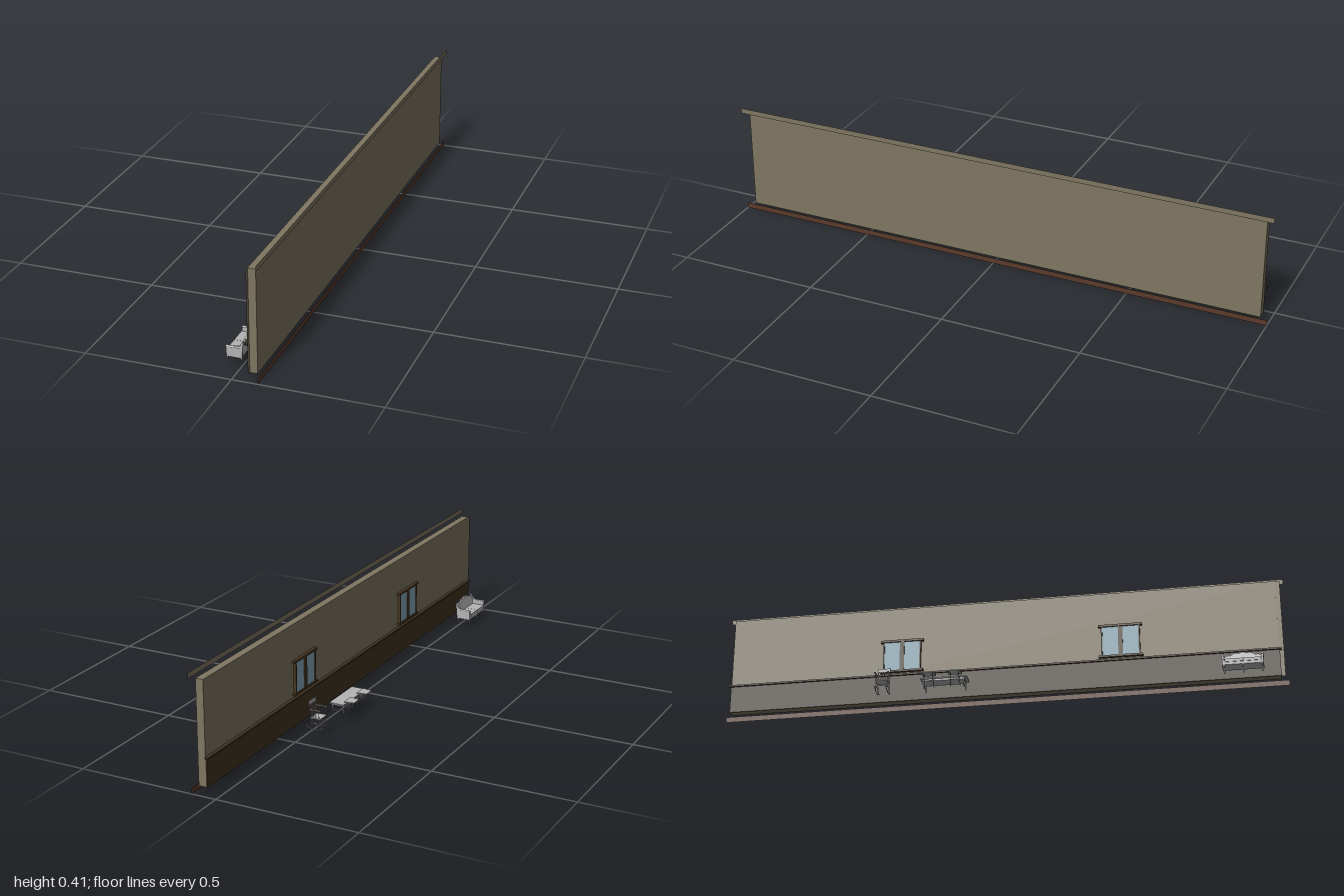
import * as THREE from 'three';

const mat = (name, color, side = THREE.FrontSide) => {
  const m = new THREE.MeshStandardMaterial({ color, side });
  m.name = name;
  return m;
};

export function createModel() {
  const plaster = mat('plaster', 0x7f7661, THREE.DoubleSide);
  const skirting = mat('skirtingBrown', 0x5a3a2a, THREE.DoubleSide);
  const panelling = mat('darkPanelling', 0x403322);
  const trim = mat('windowTrim', 0x483722);
  const glass = mat('windowGlass', 0x88a8b6);
  const grey = mat('furnitureGrey', 0xb4b4b4);

  const model = new THREE.Group();
  model.name = 'wallWithFurniture';
  const group = (name) => {
    const g = new THREE.Group();
    g.name = name;
    model.add(g);
    return g;
  };
  const add = (parent, name, geo, material) => {
    const m = new THREE.Mesh(geo, material);
    m.name = name;
    parent.add(m);
    return m;
  };
  // box given by its limits on each axis
  const box = (parent, name, material, [x0, x1], [y0, y1], [z0, z1]) =>
    add(parent, name, new THREE.BoxGeometry(x1 - x0, y1 - y0, z1 - z0), material)
      .position.set((x0 + x1) / 2, (y0 + y1) / 2, (z0 + z1) / 2);
  // flat sheet facing along x
  const sheet = (parent, name, material, x, [y0, y1], [z0, z1]) =>
    add(parent, name, new THREE.PlaneGeometry(z1 - z0, y1 - y0).rotateY(Math.PI / 2), material)
      .position.set(x, (y0 + y1) / 2, (z0 + z1) / 2);
  // round rod between two points
  const rod = (parent, name, a, b, r0, r1 = r0) => {
    const p = new THREE.Vector3(...a), q = new THREE.Vector3(...b);
    const d = q.clone().sub(p);
    const m = add(parent, name, new THREE.CylinderGeometry(r1, r0, d.length(), 8), grey);
    m.position.copy(p).addScaledVector(d, 0.5);
    m.quaternion.setFromUnitVectors(new THREE.Vector3(0, 1, 0), d.normalize());
  };
  const tube = (parent, name, pts, r) => add(parent, name, new THREE.TubeGeometry(
    new THREE.CatmullRomCurve3(pts.map((p) => new THREE.Vector3(...p))), 16, r, 6), grey);

  // wall, with free-standing edge strips behind it
  const wall = group('wall');
  box(wall, 'wallSlab', plaster, [0.05, 0.077], [0.02, 0.381], [-0.974, 0.972]);
  sheet(wall, 'wallEndSheet', plaster, 0.051, [0.02, 0.381], [0.972, 0.988]);
  sheet(wall, 'topStrip', plaster, 0.088, [0.386, 0.405], [-1, 1]);
  sheet(wall, 'bottomStrip', skirting, 0.088, [0, 0.02], [-1, 1]);
  box(wall, 'wainscot', panelling, [0.045, 0.05], [0.02, 0.117], [-0.974, 0.974]);
  box(wall, 'wainscotCap', panelling, [0.038, 0.05], [0.117, 0.123], [-0.98, 0.98]);

  // two double windows
  for (const z of [-0.35, 0.428]) {
    const w = group('window');
    box(w, 'header', trim, [0.038, 0.05], [0.247, 0.255], [z - 0.077, z + 0.077]);
    box(w, 'sill', trim, [0.038, 0.05], [0.131, 0.138], [z - 0.077, z + 0.077]);
    box(w, 'mullion', trim, [0.04, 0.05], [0.138, 0.247], [z - 0.008, z + 0.008]);
    for (const s of [-1, 1]) {
      const span = (a, b) => [z + Math.min(s * a, s * b), z + Math.max(s * a, s * b)];
      box(w, 'jamb', trim, [0.04, 0.05], [0.138, 0.247], span(0.063, 0.068));
      box(w, 'pane', glass, [0.043, 0.05], [0.138, 0.247], span(0.008, 0.063));
    }
  }

  // sofa facing away from the wall
  const sofa = group('sofa');
  const zs = 0.848;
  const back = new THREE.Shape();
  back.moveTo(-0.066, 0.036);
  back.lineTo(0.066, 0.036);
  back.lineTo(0.066, 0.074);
  back.quadraticCurveTo(0.058, 0.09, 0.042, 0.085);
  back.quadraticCurveTo(0.026, 0.1, 0.014, 0.092);
  back.quadraticCurveTo(0, 0.104, -0.014, 0.092);
  back.quadraticCurveTo(-0.026, 0.1, -0.042, 0.085);
  back.quadraticCurveTo(-0.058, 0.09, -0.066, 0.074);
  const backGeo = new THREE.ExtrudeGeometry(back, { depth: 0.007, bevelEnabled: false, curveSegments: 6 });
  backGeo.rotateY(-Math.PI / 2);
  // lean the back towards the wall
  const bp = backGeo.attributes.position;
  for (let i = 0; i < bp.count; i++) bp.setX(i, bp.getX(i) + (bp.getY(i) - 0.036) * 0.12);
  backGeo.computeVertexNormals();
  add(sofa, 'sofaBack', backGeo, grey).position.set(0.001, 0, zs);
  const crest = back.getPoints(6).slice(3).filter((p) => p.y > 0.07)
    .map((p) => [0.001 + (p.y - 0.036) * 0.12, p.y, zs + p.x]);
  tube(sofa, 'crestRail', crest, 0.0022);
  box(sofa, 'seatFrame', grey, [-0.05, 0], [0.031, 0.041], [zs - 0.066, zs + 0.066]);
  const arm = new THREE.Shape();
  arm.moveTo(-0.05, 0.031);
  arm.lineTo(0.002, 0.031);
  arm.lineTo(0.008, 0.09);
  arm.quadraticCurveTo(-0.001, 0.085, -0.002, 0.076);
  arm.quadraticCurveTo(-0.008, 0.068, -0.044, 0.067);
  arm.quadraticCurveTo(-0.054, 0.062, -0.05, 0.05);
  for (const s of [-1, 1]) {
    box(sofa, 'seatCushion', grey, [-0.052, -0.004], [0.041, 0.052],
      [zs + s * 0.0305 - 0.03, zs + s * 0.0305 + 0.03]);
    add(sofa, 'sofaArm', new THREE.ExtrudeGeometry(arm, { depth: 0.008, bevelEnabled: false, curveSegments: 6 }), grey)
      .position.z = zs + s * 0.066 - 0.004;
    add(sofa, 'armRoll', new THREE.CylinderGeometry(0.004, 0.004, 0.044, 10).rotateZ(Math.PI / 2), grey)
      .position.set(-0.029, 0.066, zs + s * 0.067);
  }
  for (const z of [-0.064, 0, 0.064]) for (const x of [-0.047, 0])
    rod(sofa, 'sofaFoot', [x - 0.002, 0.02, zs + z], [x, 0.034, zs + z], 0.002, 0.0042);

  // long table
  const table = group('table');
  box(table, 'tableTop', grey, [-0.055, 0], [0.053, 0.057], [-0.262, -0.098]);
  box(table, 'tableApron', grey, [-0.05, -0.005], [0.046, 0.053], [-0.253, -0.107]);
  for (const z of [-0.25, -0.11]) {
    for (const x of [-0.048, -0.007]) rod(table, 'tableLeg', [x, 0.02, z], [x, 0.048, z], 0.002, 0.003);
    rod(table, 'tableStretcher', [-0.048, 0.029, z], [-0.007, 0.029, z], 0.0015);
  }

  // pair of stools with crossed legs
  for (const z of [-0.23, -0.138]) {
    const stool = group('stool');
    const seat = new THREE.Shape([[-0.088, -0.018], [-0.052, -0.024], [-0.052, 0.024], [-0.088, 0.018]]
      .map(([x, y]) => new THREE.Vector2(x, y)));
    add(stool, 'stoolSeat', new THREE.ExtrudeGeometry(seat, { depth: 0.003, bevelEnabled: false })
      .rotateX(-Math.PI / 2), grey).position.set(0, 0.063, z);
    for (const s of [-1, 1]) {
      rod(stool, 'stoolLeg', [-0.048, 0.021, z + s * 0.017], [-0.076, 0.064, z + s * 0.014], 0.0013);
      rod(stool, 'stoolLeg', [-0.068, 0.03, z + s * 0.014], [-0.055, 0.064, z + s * 0.018], 0.0013);
    }
    rod(stool, 'stoolStretcher', [-0.062, 0.042, z - 0.016], [-0.062, 0.042, z + 0.016], 0.0011);
  }

  // rocking chair
  const rocker = group('rockingChair');
  const zr = -0.4;
  box(rocker, 'rockerSeat', grey, [-0.053, -0.015], [0.06, 0.064], [zr - 0.022, zr + 0.022]);
  for (const s of [-1, 1]) {
    const z = zr + s * 0.02;
    tube(rocker, 'runner', [[-0.068, 0.034, z], [-0.05, 0.024, z], [-0.03, 0.0215, z],
      [-0.012, 0.024, z], [0.003, 0.032, z]], 0.0015);
    rod(rocker, 'frontLeg', [-0.052, 0.025, z], [-0.046, 0.061, z], 0.0015);
    rod(rocker, 'rearLeg', [-0.012, 0.025, z], [-0.02, 0.061, z], 0.0015);
    rod(rocker, 'backPost', [-0.019, 0.062, z], [-0.01, 0.118, z], 0.0015);
    const armZ = zr + s * 0.024;
    box(rocker, 'armRest', grey, [-0.052, -0.014], [0.0915, 0.0935], [armZ - 0.003, armZ + 0.003]);
    for (const x of [-0.047, -0.034, -0.025])
      rod(rocker, 'armSpindle', [x, 0.062, z], [x, 0.092, armZ], 0.0009);
    rod(rocker, 'sideStretcher', [-0.049, 0.042, z], [-0.016, 0.042, z], 0.001);
  }
  rod(rocker, 'frontStretcher', [-0.049, 0.042, zr - 0.02], [-0.049, 0.042, zr + 0.02], 0.001);
  for (let i = -2; i <= 2; i++)
    rod(rocker, 'backSpindle', [-0.019, 0.062, zr + i * 0.006], [-0.011, 0.112, zr + i * 0.007], 0.0009);
  box(rocker, 'topRail', grey, [-0.0125, -0.009], [0.108, 0.121], [zr - 0.023, zr + 0.023]);

  return model;
}
